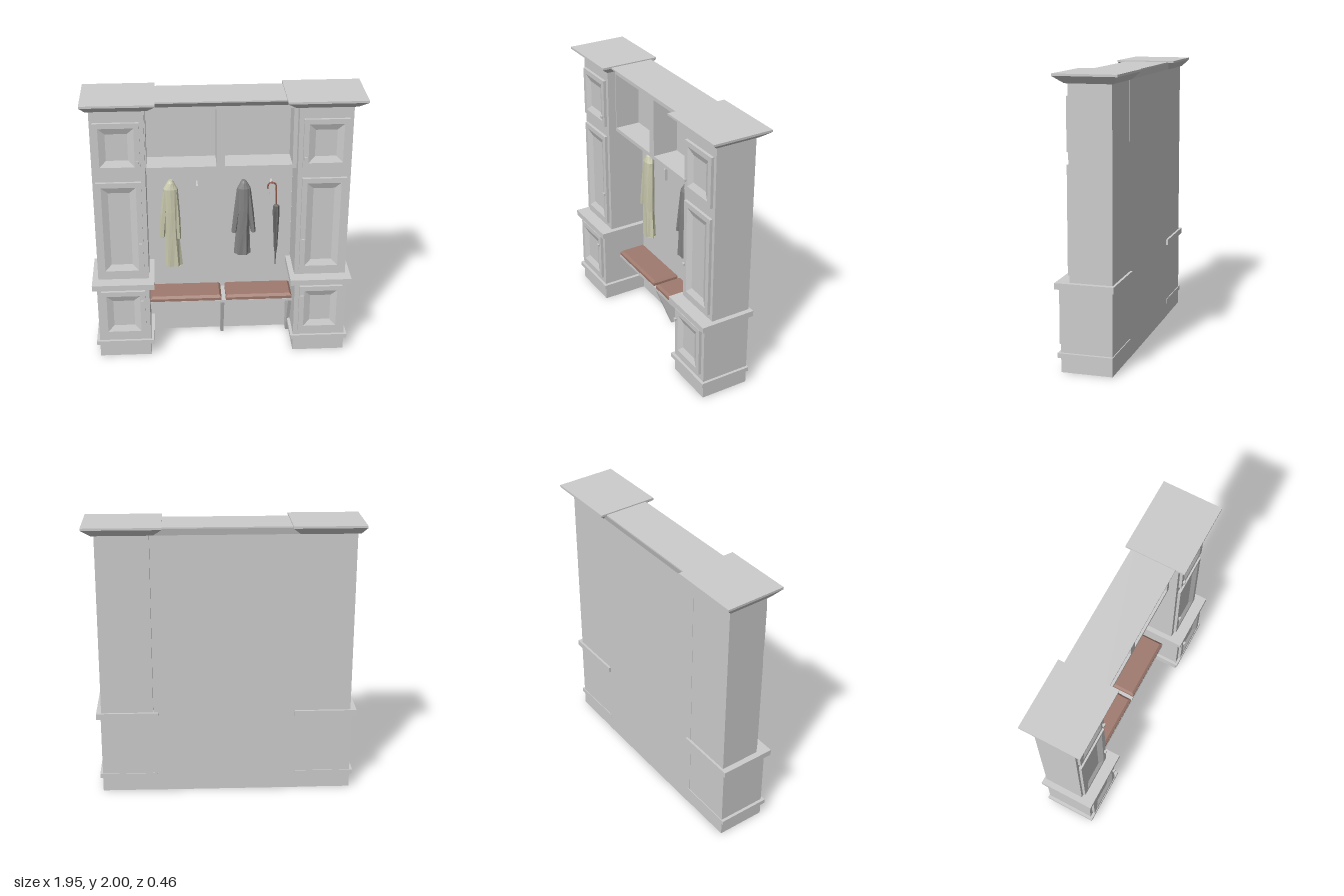
import * as THREE from 'three';

const mat = (name, color, extra = {}) => Object.assign(new THREE.MeshStandardMaterial({ color, ...extra }), { name });

// Skins a list of equal-length point rings, capped at both ends, with flat faces.
// Rings run counterclockwise as seen from the last ring's side.
function loft(rings) {
  const pos = [];
  const tri = (...pts) => pts.forEach((p) => pos.push(...p));
  const n = rings[0].length;
  for (let r = 0; r + 1 < rings.length; r++) {
    const a = rings[r], b = rings[r + 1];
    for (let i = 0; i < n; i++) {
      const j = (i + 1) % n;
      tri(a[i], a[j], b[j]);
      tri(a[i], b[j], b[i]);
    }
  }
  const first = rings[0], last = rings[rings.length - 1];
  for (let i = 1; i + 1 < n; i++) {
    tri(first[0], first[i + 1], first[i]);
    tri(last[0], last[i], last[i + 1]);
  }
  const g = new THREE.BufferGeometry();
  g.setAttribute('position', new THREE.Float32BufferAttribute(pos, 3));
  g.computeVertexNormals();
  return g;
}

const flatRect = (y, x0, x1, z0, z1) => [[x0, y, z1], [x1, y, z1], [x1, y, z0], [x0, y, z0]];
const faceRect = (z, x0, x1, y0, y1, d = 0) =>
  [[x0 + d, y0 + d, z], [x1 - d, y0 + d, z], [x1 - d, y1 - d, z], [x0 + d, y1 - d, z]];
// Horizontal ring; fold pushes every other point in and out for cloth pleats.
const clothRing = ([y, cx, cz, rx, rz, fold = 0], sides) => Array.from({ length: sides }, (_, i) => {
  const t = (i / sides) * Math.PI * 2, k = 1 + (i % 2 ? -fold : fold * 0.2);
  return [cx + rx * k * Math.cos(t), y, cz - rz * k * Math.sin(t)];
});

export function createModel() {
  const root = new THREE.Group();
  root.name = 'hallwayCabinet';
  const paint = mat('cabinetPaint', 0xcccccc);
  const leather = mat('cushionBrown', 0xa07a6e);
  const beige = mat('beigeCloth', 0xc9c9ae);
  const grey = mat('greyCloth', 0x848484);
  const dark = mat('umbrellaGrey', 0x6c6c6c);
  const wood = mat('handleBrown', 0x96604f);

  const add = (parent, name, geo, material) => {
    const m = new THREE.Mesh(geo, material);
    m.name = name;
    parent.add(m);
    return m;
  };
  const box = (parent, name, x0, x1, y0, y1, z0, z1, material = paint) => {
    const m = add(parent, name, new THREE.BoxGeometry(x1 - x0, y1 - y0, z1 - z0), material);
    m.position.set((x0 + x1) / 2, (y0 + y1) / 2, (z0 + z1) / 2);
    return m;
  };
  const group = (name) => {
    const g = new THREE.Group();
    g.name = name;
    root.add(g);
    return g;
  };

  // Side towers: plinth cabinet, mouldings, upper cabinet, flared crown
  const towers = [
    { name: 'rightTower', low: [-0.93, -0.55], up: [-0.92, -0.55], base: [-0.952, -0.524], ledge: [-0.963, -0.513],
      crownLow: [-0.94, -0.524], crown: [-0.977, -0.469], door: [-0.9, -0.582], knob: -0.602 },
    { name: 'leftTower', low: [0.513, 0.895], up: [0.515, 0.89], base: [0.492, 0.915], ledge: [0.478, 0.926],
      crownLow: [0.487, 0.91], crown: [0.427, 0.976], door: [0.547, 0.863], knob: 0.566 },
  ];
  const doors = [
    { y: [0.185, 0.56], z: 0.19, knobY: 0.48 },
    { y: [0.665, 1.405], z: 0.127, knobY: 0.917 },
    { y: [1.487, 1.85], z: 0.127, knobY: 1.565 },
  ];
  for (const t of towers) {
    const g = group(t.name);
    box(g, 'lowerCabinet', ...t.low, 0, 0.6, -0.17, 0.19);
    box(g, 'upperCabinet', ...t.up, 0.6, 1.94, -0.17, 0.127);
    box(g, 'baseMoulding', ...t.base, 0.106, 0.138, -0.176, 0.21);
    box(g, 'ledge', ...t.ledge, 0.58, 0.623, -0.187, 0.222);
    add(g, 'crown', loft([
      flatRect(1.935, ...t.crownLow, -0.18, 0.143),
      flatRect(1.985, ...t.crown, -0.23, 0.206),
      flatRect(2, ...t.crown, -0.23, 0.206),
    ]), paint);
    for (const d of doors) {
      const front = d.z + 0.021;
      add(g, 'door', loft([
        faceRect(d.z, ...t.door, ...d.y),
        faceRect(front, ...t.door, ...d.y),
        faceRect(front, ...t.door, ...d.y, 0.037),
        faceRect(d.z + 0.003, ...t.door, ...d.y, 0.083),
      ]), paint);
      box(g, 'knobStem', t.knob - 0.005, t.knob + 0.005, d.knobY - 0.005, d.knobY + 0.005, front, front + 0.006);
      box(g, 'knob', t.knob - 0.011, t.knob + 0.011, d.knobY - 0.01, d.knobY + 0.01, front + 0.005, front + 0.018);
    }
  }

  // Middle section: back panel, open cubbies, cornice
  const mid = group('middleSection');
  const L = -0.55, R = 0.513;
  box(mid, 'backPanel', L, R, 0, 1.94, -0.172, -0.155);
  box(mid, 'cubbyBack', L, R, 1.453, 1.935, -0.155, -0.12);
  box(mid, 'cubbyFloor', L, R, 1.453, 1.48, -0.12, 0.068);
  box(mid, 'cubbyTop', L, R, 1.905, 1.94, -0.12, 0.068);
  for (const [x0, x1] of [[L, -0.542], [-0.05, 0.008], [0.484, R]])
    box(mid, 'cubbyUpright', x0, x1, 1.48, 1.905, -0.12, 0.068);
  add(mid, 'cornice', loft([
    flatRect(1.935, L, R, -0.175, 0.08),
    flatRect(1.982, L, R, -0.188, 0.138),
    flatRect(1.992, L, R, -0.188, 0.138),
  ]), paint);

  // Bench with tapered brackets and bevelled cushions
  const bench = group('bench');
  box(bench, 'benchBoard', L, R, 0.353, 0.374, -0.155, 0.06);
  for (const [x0, x1] of [[-0.018, 0.005], [0.487, 0.511]])
    add(bench, 'bracket', loft([flatRect(0, x0, x1, -0.155, -0.09), flatRect(0.353, x0, x1, -0.155, 0.05)]), paint);
  for (const [x0, x1] of [[-0.547, -0.016], [0.016, 0.511]])
    add(bench, 'cushion', loft([
      flatRect(0.374, x0, x1, -0.152, 0.058),
      flatRect(0.395, x0, x1, -0.152, 0.058),
      flatRect(0.412, x0 + 0.016, x1 - 0.016, -0.14, 0.042),
    ]), leather);

  // Coat hooks
  for (const x of [-0.375, -0.185, 0.155, 0.357])
    add(root, 'coatHook', loft([
      flatRect(1.148, x - 0.0065, x + 0.0065, -0.155, -0.134),
      flatRect(1.235, x - 0.0065, x + 0.0065, -0.155, -0.134),
      flatRect(1.27, x - 0.0065, x + 0.0065, -0.155, -0.15),
    ]), paint);

  // Hanging coats: pleated body and two sleeves, each listed hem to top
  const cloth = (parent, name, rows, sides, material) =>
    add(parent, name, loft(rows.map((r) => clothRing(r, sides))), material);
  const coat = (name, material, body, sleeves) => {
    const g = group(name);
    cloth(g, 'coatBody', body, 12, material);
    for (const s of sleeves) cloth(g, 'sleeve', s, 6, material);
  };
  coat('beigeCoat', beige, [
    [0.6, -0.365, -0.105, 0.064, 0.042, 0.22],
    [0.85, -0.372, -0.105, 0.05, 0.038, 0.12],
    [1.05, -0.376, -0.105, 0.052, 0.036, 0.05],
    [1.23, -0.378, -0.11, 0.054, 0.034],
    [1.275, -0.377, -0.118, 0.028, 0.028],
    [1.292, -0.376, -0.122, 0.016, 0.02],
  ], [
    [[0.845, -0.447, -0.1, 0.02, 0.026], [1.03, -0.432, -0.105, 0.024, 0.026], [1.22, -0.41, -0.11, 0.022, 0.024]],
    [[0.83, -0.325, -0.1, 0.018, 0.026], [1.03, -0.334, -0.105, 0.022, 0.026], [1.22, -0.346, -0.11, 0.022, 0.024]],
  ]);
  coat('greyCoat', grey, [
    [0.685, 0.147, -0.105, 0.06, 0.042, 0.22],
    [0.88, 0.15, -0.105, 0.05, 0.038, 0.12],
    [1.05, 0.155, -0.105, 0.05, 0.036, 0.05],
    [1.225, 0.156, -0.11, 0.05, 0.034],
    [1.265, 0.156, -0.118, 0.026, 0.028],
    [1.28, 0.155, -0.122, 0.015, 0.02],
  ], [
    [[0.87, 0.084, -0.1, 0.019, 0.026], [1.03, 0.104, -0.105, 0.022, 0.026], [1.215, 0.124, -0.11, 0.02, 0.024]],
    [[0.87, 0.227, -0.1, 0.019, 0.026], [1.03, 0.207, -0.105, 0.023, 0.026], [1.215, 0.187, -0.11, 0.02, 0.024]],
  ]);

  // Folded umbrella hanging by its crook
  const umbrella = group('umbrella');
  const crook = [[0.333, 1.205], [0.334, 1.232], [0.346, 1.249], [0.364, 1.253], [0.383, 1.247], [0.394, 1.225], [0.396, 1.15], [0.397, 1.06]];
  add(umbrella, 'crookHandle', new THREE.TubeGeometry(
    new THREE.CatmullRomCurve3(crook.map(([x, y]) => new THREE.Vector3(x, y, -0.125))), 28, 0.006, 6), wood);
  cloth(umbrella, 'foldedCanopy', [
    [0.57, 0.4, -0.125, 0.003, 0.003],
    [0.66, 0.4, -0.125, 0.006, 0.006],
    [0.72, 0.4, -0.125, 0.013, 0.013, 0.25],
    [1.02, 0.398, -0.125, 0.025, 0.025, 0.25],
    [1.065, 0.398, -0.125, 0.022, 0.022, 0.15],
    [1.075, 0.397, -0.125, 0.008, 0.008],
  ], 12, dark);

  return root;
}
